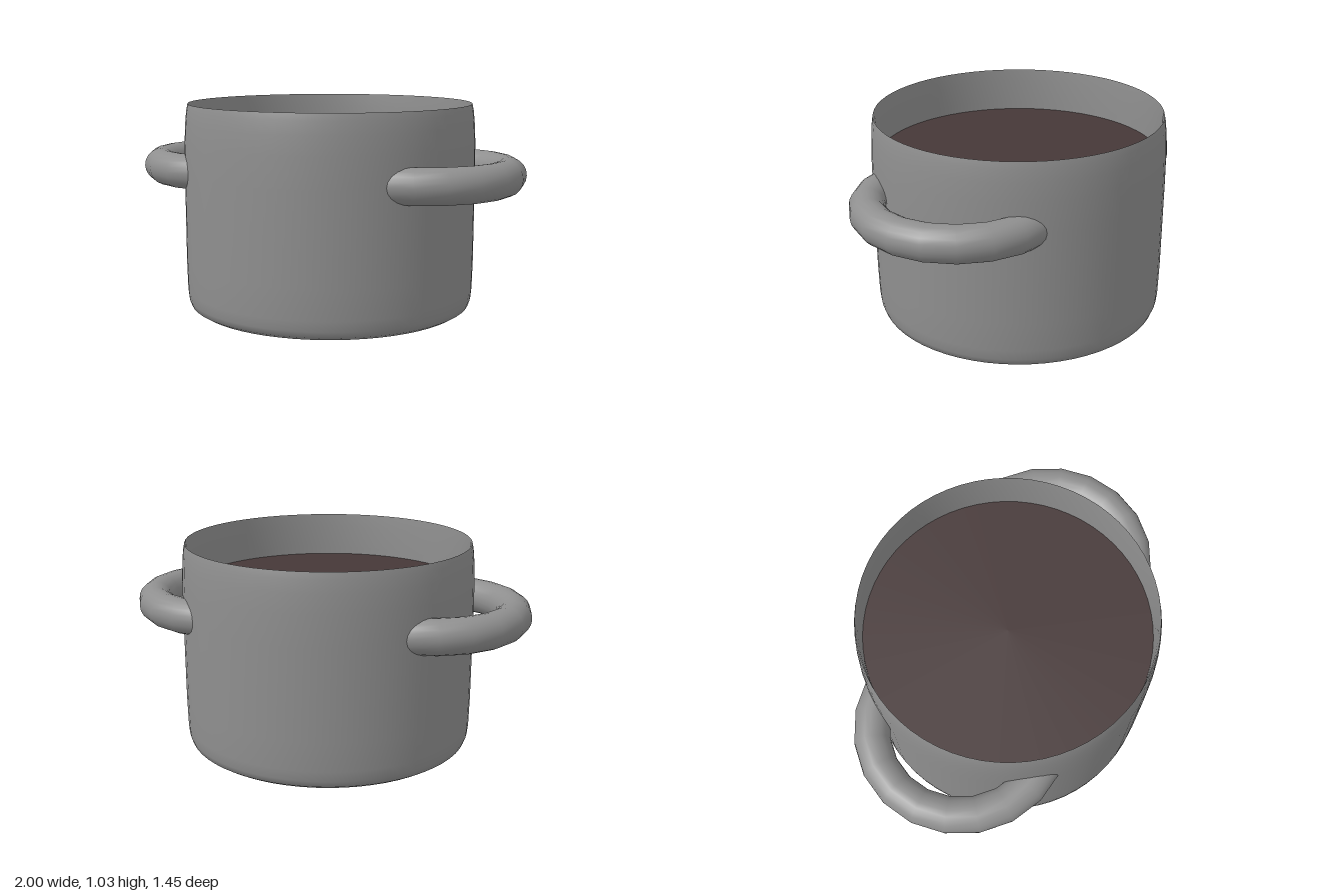
import * as THREE from 'three';

const metal = new THREE.MeshStandardMaterial({ color: 0x8f8f8f, side: THREE.DoubleSide });
const broth = new THREE.MeshStandardMaterial({ color: 0x463838 });

function lathe(name, points) {
  const profile = points.map(([r, y]) => new THREE.Vector2(r, y));
  const mesh = new THREE.Mesh(new THREE.LatheGeometry(profile, 64), metal);
  mesh.name = name;
  return mesh;
}

export function createModel() {
  const model = new THREE.Group();
  model.name = 'cookingPot';

  // Pot body, very slightly off centre between the handles
  const pot = new THREE.Group();
  pot.name = 'pot';
  pot.position.x = 0.01;
  model.add(pot);

  // Outer wall with a rounded foot and a slightly drawn-in rim
  pot.add(lathe('outerWall', [
    [0, 0], [0.5, 0.002], [0.63, 0.007], [0.68, 0.014], [0.705, 0.03], [0.716, 0.06], [0.721, 0.11],
    [0.724, 0.25], [0.724, 0.7], [0.722, 0.85], [0.717, 0.94], [0.711, 1.0], [0.704, 1.033],
  ]));

  // Inner wall from the thin rim down to the floor
  pot.add(lathe('innerWall', [
    [0.704, 1.033], [0.7, 0.97], [0.698, 0.85], [0.698, 0.12], [0.685, 0.05], [0.65, 0.03], [0, 0.03],
  ]));

  // Liquid surface
  const liquid = new THREE.Mesh(new THREE.CircleGeometry(0.698, 64), broth);
  liquid.name = 'liquid';
  liquid.rotation.x = -Math.PI / 2;
  liquid.position.y = 0.81;
  pot.add(liquid);

  // Ring handles, their ends sunk through the wall
  const arc = Math.PI * 1.2;
  const ring = new THREE.TorusGeometry(0.429, 0.086, 20, 12, arc);
  ring.rotateZ(-arc / 2);
  ring.rotateX(-Math.PI / 2);
  for (const [name, side] of [['leftHandle', 1], ['rightHandle', -1]]) {
    const handle = new THREE.Mesh(ring, metal);
    handle.name = name;
    handle.position.set(side * 0.485, 0.702, 0);
    if (side < 0) handle.rotation.y = Math.PI;
    model.add(handle);
  }
  return model;
}
